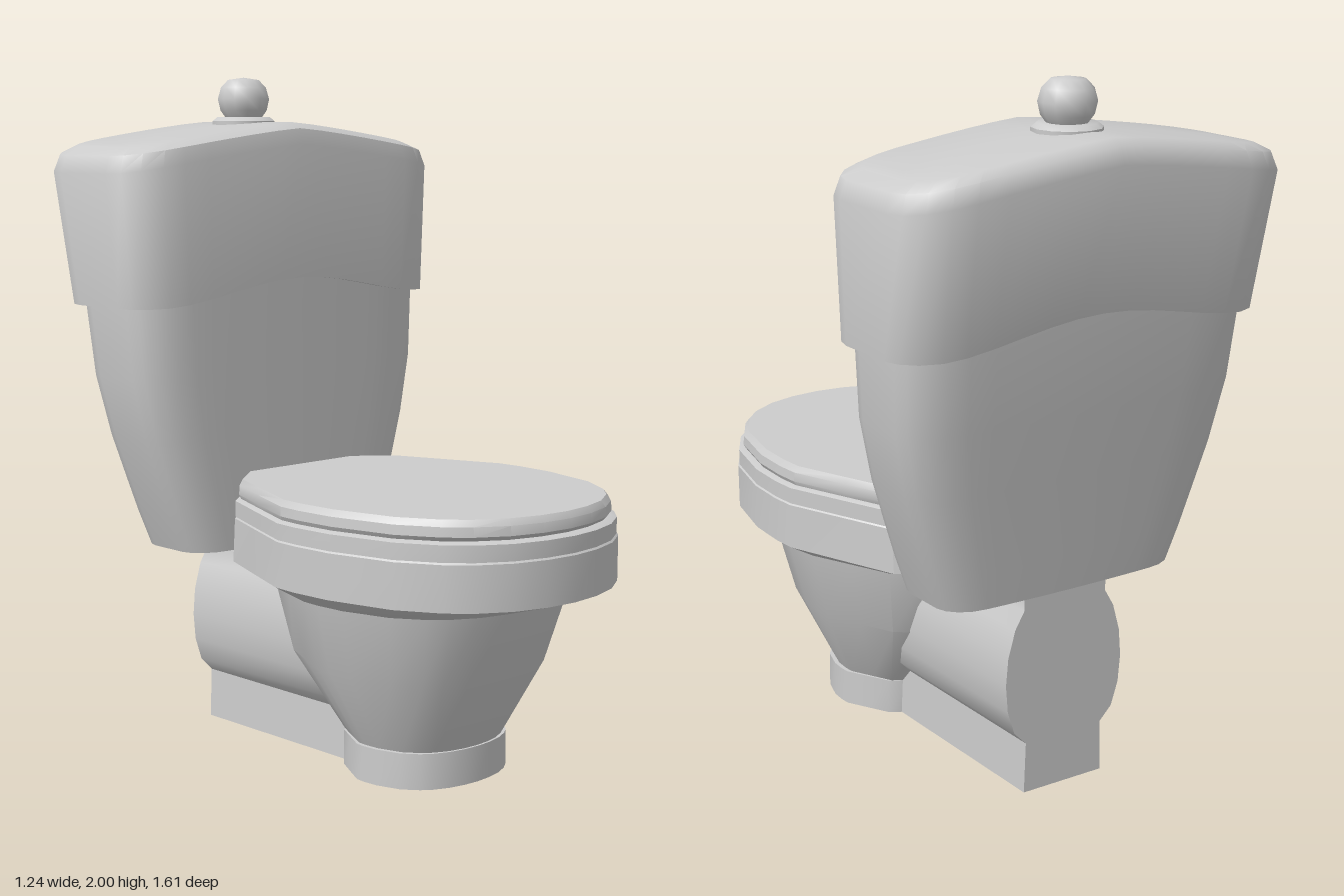
import * as THREE from 'three';
import { toCreasedNormals } from 'three/addons/utils/BufferGeometryUtils.js';

const ceramic = new THREE.MeshStandardMaterial({ color: 0xcccccc });
ceramic.name = 'ceramic grey';

// Skin closed rings (counter-clockwise from above, bottom to top) and fan the ends.
function loft(rings, crease = 0.6) {
  const n = rings[0].length, pos = rings.flat(2), idx = [];
  for (let r = 0; r < rings.length - 1; r++) {
    for (let i = 0; i < n; i++) {
      const a = r * n + i, b = r * n + (i + 1) % n;
      idx.push(a, b, b + n, a, b + n, a + n);
    }
  }
  const cap = (ring, start, up) => {
    const c = pos.length / 3;
    pos.push(...[0, 1, 2].map(k => ring.reduce((s, p) => s + p[k], 0) / n));
    for (let i = 0; i < n; i++) {
      const a = start + i, b = start + (i + 1) % n;
      if (up) idx.push(a, b, c); else idx.push(b, a, c);
    }
  };
  cap(rings[0], 0, false);
  cap(rings[rings.length - 1], (rings.length - 1) * n, true);
  const g = new THREE.BufferGeometry();
  g.setAttribute('position', new THREE.Float32BufferAttribute(pos, 3));
  g.setIndex(idx);
  return toCreasedNormals(g, crease);
}

// Mirror the right half of an outline (front to back) onto the left.
const mirror = half => [...half, ...half.filter(p => p[0] > 1e-6).reverse().map(([x, z]) => [-x, z])];

// Egg-shaped bowl outline, fitted to a half width and a z range.
const EGG = mirror([[0, 0.805], [0.1, 0.795], [0.2, 0.765], [0.29, 0.71], [0.35, 0.65], [0.42, 0.53],
  [0.468, 0.33], [0.475, 0.2], [0.47, 0.12], [0.4, -0.06], [0.335, -0.225], [0.22, -0.32]]);
const egg = (y, w, zf, zb) =>
  EGG.map(([x, z]) => [x * w / 0.475, y, zb + (z + 0.32) / 1.125 * (zf - zb)]);

// Rounded-rectangle ring with slightly bowed long sides; y may vary with x.
function slab(yOf, w, zf, zb) {
  const rx = 0.29 * w, depth = zf - zb, rz = 0.27 * depth, a = w - rx, half = [];
  const bow = x => 0.02 * depth * (x / a) ** 2;
  for (let i = 0; i < 5; i++) half.push([a * i / 5, zf - bow(a * i / 5)]);
  for (let i = 0; i <= 4; i++) {
    const t = i / 4 * Math.PI / 2;
    half.push([a + rx * Math.sin(t), zf - bow(a) - rz * (1 - Math.cos(t))]);
  }
  const back = half.map(([x, z]) => [x, zf + zb - z]).reverse();
  return mirror([...half, ...back]).map(([x, z]) => [x, yOf(x), z]);
}

export function createModel() {
  const model = new THREE.Group();
  const add = (name, geometry) => {
    const m = new THREE.Mesh(geometry, ceramic);
    m.name = name;
    model.add(m);
    return m;
  };

  // Foot and tapered bowl
  add('foot', loft([egg(0, 0.24, 0.45, 0.035), egg(0.105, 0.24, 0.45, 0.035)]));
  add('bowl', loft([egg(0.1, 0.225, 0.44, 0.035), egg(0.33, 0.34, 0.57, -0.13), egg(0.54, 0.39, 0.64, -0.18)]));

  // Rim with sloping underside, seat ring and closed cover
  add('rim', loft([egg(0.535, 0.39, 0.64, -0.18), egg(0.585, 0.475, 0.805, -0.325),
    egg(0.715, 0.475, 0.805, -0.315), egg(0.725, 0.465, 0.795, -0.31)], 0.5));
  add('seat', loft([egg(0.72, 0.472, 0.8, -0.315), egg(0.767, 0.472, 0.8, -0.315), egg(0.773, 0.455, 0.78, -0.31)], 0.5));
  add('seatCover', loft([egg(0.77, 0.452, 0.77, -0.3), egg(0.785, 0.46, 0.785, -0.305),
    egg(0.812, 0.458, 0.782, -0.305), egg(0.83, 0.445, 0.77, -0.3)], 0.5));

  // Drain pedestal running back under the cistern
  const side = [[0.135, 0], [0.13, 0.15], [0.17, 0.19], [0.193, 0.26], [0.2, 0.34],
    [0.193, 0.42], [0.17, 0.5], [0.14, 0.55], [0.14, 0.605]];
  const profile = new THREE.Shape(mirror(side).map(([x, y]) => new THREE.Vector2(x, y)));
  const drain = new THREE.ExtrudeGeometry(profile, { depth: 0.67, bevelEnabled: false });
  add('drainPedestal', toCreasedNormals(drain, 0.7)).position.z = -0.59;

  // Cistern widening upwards, its back leaning outwards
  const walls = [[0.595, 0.39, -0.618], [0.7, 0.43, -0.632], [0.8, 0.463, -0.645], [0.94, 0.508, -0.664],
    [1.12, 0.548, -0.688], [1.33, 0.562, -0.715], [1.46, 0.565, -0.722]];
  add('cistern', loft(walls.map(([y, w, zb]) => slab(() => y, w, -0.312, zb))));

  // Cistern lid with arched lower edge and crowned top
  const arch = x => 1.333 + 0.034 * (1 + Math.cos(Math.PI * Math.min(Math.abs(x) / 0.55, 1)));
  const crown = x => 1.865 - 0.07 * (Math.abs(x) / 0.55) ** 1.2;
  add('cisternLid', loft([
    slab(arch, 0.5, -0.51, -0.51),
    slab(arch, 0.597, -0.295, -0.735),
    slab(x => crown(x) - 0.065, 0.62, -0.29, -0.808),
    slab(x => crown(x) - 0.018, 0.603, -0.302, -0.793),
    slab(crown, 0.555, -0.34, -0.76),
    slab(crown, 0.5, -0.55, -0.55),
  ], 0.8));

  // Flush knob on its collar
  const lathe = pts => toCreasedNormals(
    new THREE.LatheGeometry(pts.map(([r, y]) => new THREE.Vector2(r, y)), 12), 0.8);
  add('knobCollar', lathe([[0.097, 1.85], [0.097, 1.868], [0.082, 1.88], [0, 1.88]])).position.z = -0.563;
  add('flushKnob', lathe([[0.05, 1.87], [0.072, 1.9], [0.08, 1.935], [0.07, 1.97], [0.048, 1.993], [0, 2]]))
    .position.z = -0.563;

  return model;
}
